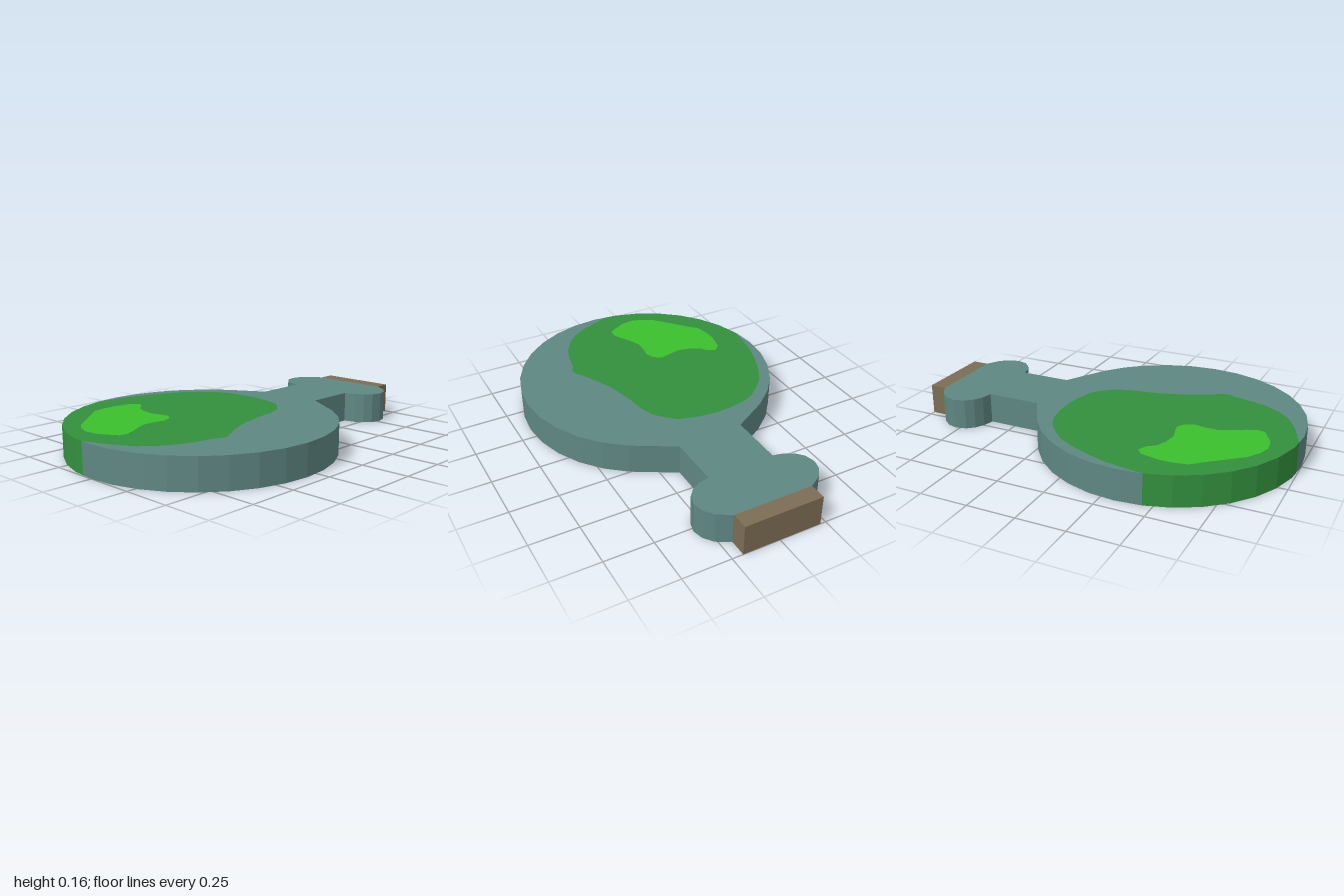
import * as THREE from 'three';

const THICKNESS = 0.16;
const RADIUS = 0.68;
const CENTRE_Z = 0.32;
const SIDES = 32;

const paint = (name, color) => {
  const m = new THREE.MeshStandardMaterial({ color });
  m.name = name;
  return m;
};

// Plan points are [x, z]; the shape plane is later laid flat, so z is negated.
const toVectors = (points) => points.map(([x, z]) => new THREE.Vector2(x, -z));

// Rim points of the round body; step 0 is the front, counting towards +x.
function rim(from, to) {
  const points = [];
  for (let i = from; i <= to; i++) {
    const a = (i / SIDES) * Math.PI * 2;
    points.push([RADIUS * Math.sin(a), CENTRE_Z + RADIUS * Math.cos(a)]);
  }
  return points;
}

// Flat slab with straight sides, standing on y = 0.
function slab(name, outline, material, hole) {
  const shape = new THREE.Shape(toVectors(outline));
  if (hole) shape.holes.push(new THREE.Path(toVectors(hole)));
  const geometry = new THREE.ExtrudeGeometry(shape, { depth: THICKNESS, bevelEnabled: false });
  geometry.rotateX(-Math.PI / 2);
  const mesh = new THREE.Mesh(geometry, material);
  mesh.name = name;
  return mesh;
}

export function createModel() {
  const glass = paint('grey teal glass', 0x5f8783);
  const green = paint('green liquid', 0x33903e);
  const bright = paint('bright green highlight', 0x3ac02d);
  const corkBrown = paint('cork brown', 0x7d6e54);

  // Neck and bulging lip, right half; the left half mirrors about x = NECK_X
  const NECK_X = -0.0135;
  const neckRight = [
    [0.163, -0.37], [0.163, -0.64], [0.22, -0.652], [0.265, -0.678], [0.298, -0.715],
    [0.312, -0.77], [0.298, -0.825], [0.262, -0.872], [0.195, -0.912],
  ];
  const neckLeft = neckRight.map(([x, z]) => [2 * NECK_X - x, z]).reverse();
  neckLeft[neckLeft.length - 1][1] = -0.355;

  // Free edge of the liquid, from the left rim over the back and down to the front rim
  const liquidEdge = [
    [-0.64, 0.265], [-0.595, 0.13], [-0.555, 0.04], [-0.51, -0.04], [-0.445, -0.105],
    [-0.385, -0.155], [-0.315, -0.185], [-0.235, -0.2], [-0.14, -0.205], [-0.05, -0.195],
    [0.06, -0.165], [0.115, -0.115], [0.155, -0.065], [0.18, 0.005], [0.195, 0.105],
    [0.215, 0.195], [0.24, 0.28], [0.28, 0.37], [0.31, 0.425], [0.345, 0.485],
    [0.35, 0.515], [0.33, 0.555], [0.31, 0.66], [0.285, 0.735], [0.23, 0.825],
    [0.175, 0.88], [0.09, 0.93], [0.03, 0.955], [-0.07, 0.993],
  ];

  const highlightEdge = [
    [-0.46, 0.34], [-0.415, 0.36], [-0.385, 0.4], [-0.33, 0.425], [-0.26, 0.435],
    [-0.195, 0.42], [-0.15, 0.41], [-0.11, 0.435], [-0.09, 0.485], [-0.1, 0.545],
    [-0.1, 0.605], [-0.075, 0.665], [-0.04, 0.725], [-0.02, 0.77], [-0.025, 0.815],
    [-0.065, 0.84], [-0.12, 0.87], [-0.195, 0.88], [-0.255, 0.86], [-0.31, 0.825],
    [-0.35, 0.78], [-0.4, 0.72], [-0.45, 0.66], [-0.5, 0.605], [-0.515, 0.53],
    [-0.515, 0.465], [-0.495, 0.37],
  ];

  // The glass wraps around the liquid, which reaches the rim at the front left
  const glassOutline = [
    ...rim(0, 13), ...neckRight, ...neckLeft, ...rim(19, 25), ...liquidEdge,
  ];
  const liquidOutline = [...liquidEdge, ...rim(25, 31).reverse()];

  const model = new THREE.Group();
  model.name = 'flask';
  model.add(
    slab('glassBody', glassOutline, glass),
    slab('liquid', liquidOutline, green, highlightEdge),
    slab('liquidHighlight', highlightEdge, bright),
  );

  // Cork stopper
  const cork = new THREE.Mesh(new THREE.BoxGeometry(0.414, THICKNESS, 0.088), corkBrown);
  cork.name = 'cork';
  cork.position.set(NECK_X, THICKNESS / 2, -0.956);
  model.add(cork);

  return model;
}
